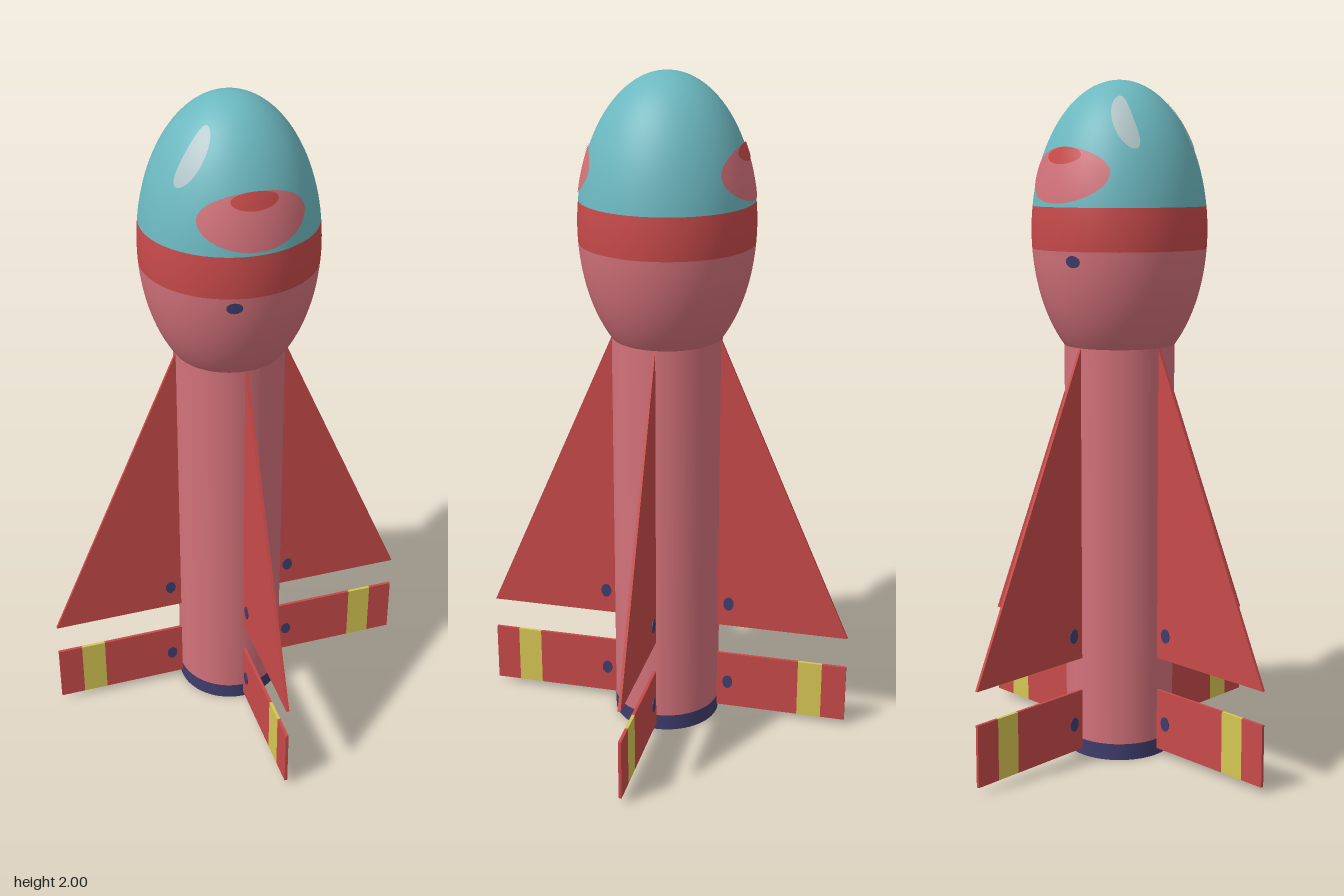
import * as THREE from 'three';

const mat = (name, color) => new THREE.MeshStandardMaterial({ name, color });

// Egg-shaped head: centre height, radius and half height
const CY = 1.57, R = 0.257, H = 0.43;
const BODY_R = 0.163;
const radiusAt = (y) => R * Math.sqrt(Math.max(0, 1 - ((y - CY) / H) ** 2));

export function createModel() {
  const group = new THREE.Group();
  const pink = mat('pink', 0xd3727a);
  const red = mat('red', 0xc84a4a);
  const teal = mat('teal', 0x6cb8c0);
  const navy = mat('navy', 0x403d6c);
  const yellow = mat('yellow', 0xd6c653);
  const shine = mat('pale shine', 0xb2c6c9);

  const add = (parent, name, geometry, material) => {
    const mesh = new THREE.Mesh(geometry, material);
    mesh.name = name;
    parent.add(mesh);
    return mesh;
  };

  // Horizontal slice of the head, sampled evenly by angle
  const headSlice = (name, y0, y1, steps, material) => {
    const a0 = Math.asin((y0 - CY) / H), a1 = Math.asin(Math.min(1, (y1 - CY) / H));
    const points = [];
    for (let i = 0; i <= steps; i++) {
      const a = a0 + (a1 - a0) * i / steps;
      points.push(new THREE.Vector2(Math.max(0, R * Math.cos(a)), CY + H * Math.sin(a)));
    }
    add(group, name, new THREE.LatheGeometry(points, 64), material);
  };
  headSlice('headLower', 1.225, 1.52, 14, pink);
  headSlice('headBand', 1.52, 1.642, 8, red);
  headSlice('headDome', 1.642, 2, 24, teal);

  // Painted oval laid on the head surface; side is 1 for front, -1 for back
  const paint = (name, side, x, y, a, b, tilt, lift, material) => {
    const g = new THREE.RingGeometry(0, 1, 40, 8);
    g.scale(a, b, 1).rotateZ(tilt * side).translate(x * side, y, 0);
    const p = g.attributes.position;
    for (let i = 0; i < p.count; i++) {
      const r = radiusAt(p.getY(i));
      p.setZ(i, Math.sqrt(Math.max(0, r * r - p.getX(i) ** 2)) + lift);
    }
    g.computeVertexNormals();
    if (side < 0) g.rotateY(Math.PI);
    add(group, name, g, material);
  };
  for (const side of [1, -1]) {
    const end = side > 0 ? 'front' : 'back';
    paint(end + 'Oval', side, 0, 1.73, 0.15, 0.078, 0, 0.003, pink);
    paint(end + 'OvalMark', side, 0, 1.785, 0.066, 0.024, 0, 0.005, red);
    paint(end + 'Shine', side, -0.135, 1.876, 0.088, 0.017, 0.98, 0.004, shine);
    paint(end + 'HeadDot', side, -0.063, 1.492, 0.022, 0.017, 0, 0.004, navy);
  }

  // Tubular body with a dark tail ring and closed base
  const tube = (name, y0, y1, material) => add(group, name,
    new THREE.CylinderGeometry(BODY_R, BODY_R, y1 - y0, 64, 1, true).translate(0, (y0 + y1) / 2, 0), material);
  tube('body', 0.05, 1.25, pink);
  tube('tailRing', 0, 0.05, navy);
  add(group, 'base', new THREE.CircleGeometry(BODY_R, 64).rotateX(Math.PI / 2), teal);

  // Four sets of fins around the body
  const T = 0.009, IN = 0.15, OUT = 0.57;
  const finShape = new THREE.Shape([
    new THREE.Vector2(IN, 0.305), new THREE.Vector2(OUT, 0.305),
    new THREE.Vector2(BODY_R, 1.235), new THREE.Vector2(IN, 1.235),
  ]);
  const finGeo = new THREE.ExtrudeGeometry(finShape, { depth: T, bevelEnabled: false }).translate(0, 0, -T / 2);
  const vane = (x0, x1) => new THREE.BoxGeometry(x1 - x0, 0.185, T).translate((x0 + x1) / 2, 0.1125, 0);
  const dot = (y) => new THREE.CylinderGeometry(1, 1, T + 0.005, 16)
    .rotateX(Math.PI / 2).scale(0.016, 0.022, 1).translate(0.197, y, 0);

  for (let i = 0; i < 4; i++) {
    const fins = new THREE.Group();
    fins.name = 'finSet' + (i + 1);
    fins.rotation.y = i * Math.PI / 2;
    add(fins, 'upperFin', finGeo, red);
    add(fins, 'lowerFinInner', vane(IN, 0.42), red);
    add(fins, 'lowerFinStripe', vane(0.42, 0.495), yellow);
    add(fins, 'lowerFinTip', vane(0.495, OUT), red);
    add(fins, 'upperFinDot', dot(0.38), navy);
    add(fins, 'lowerFinDot', dot(0.105), navy);
    group.add(fins);
  }
  return group;
}
